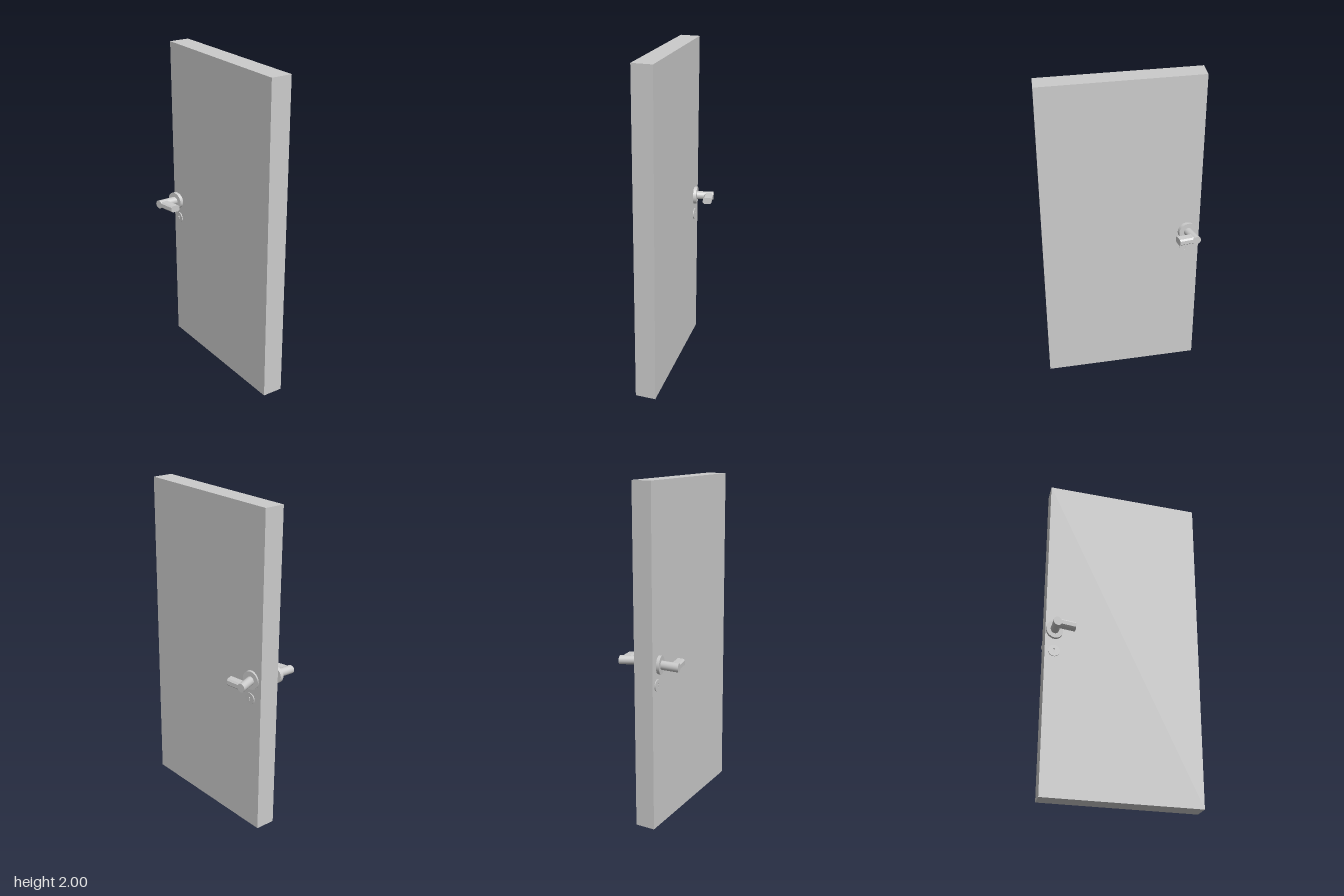
import * as THREE from 'three';

const material = new THREE.MeshStandardMaterial({ color: 0xcccccc });
const v3 = (x, y, z) => new THREE.Vector3(x, y, z);

// Slightly skewed local frame: x runs through the door, z along its width
function frame(xAxis, zAxis, origin) {
  return new THREE.Matrix4().makeBasis(xAxis, v3(0, 1, 0), zAxis).setPosition(origin);
}

function addPart(parent, name, geometry, matrix) {
  if (matrix) geometry.applyMatrix4(matrix);
  const mesh = new THREE.Mesh(geometry, material);
  mesh.name = name;
  parent.add(mesh);
}

// Cylinder along x from one distance to another, on side s
function disc(radius, from, to, s) {
  return new THREE.CylinderGeometry(radius, radius, to - from, 32)
    .rotateZ(Math.PI / 2)
    .translate(s * (from + to) / 2, 0, 0);
}

// Grip bar with chamfered long edges, running along z
function leverGeometry(width, height, from, to) {
  const w = width / 2, h = height / 2, c = 0.009;
  const shape = new THREE.Shape([
    [-w + c, -h], [w - c, -h], [w, -h + c], [w, h - c],
    [w - c, h], [-w + c, h], [-w, h - c], [-w, -h + c],
  ].map(([x, y]) => new THREE.Vector2(x, y)));
  return new THREE.ExtrudeGeometry(shape, { depth: to - from, bevelEnabled: false })
    .translate(0, 0, from);
}

// Thin round plate with a keyhole cut through it
function keyPlateGeometry(s) {
  const shape = new THREE.Shape().absarc(0, 0, 0.035, 0, Math.PI * 2, false);
  const hole = new THREE.Path();
  hole.moveTo(-0.003, -0.014);
  hole.lineTo(0.003, -0.014);
  hole.lineTo(0.003, 0.002);
  hole.absarc(0, 0.006, 0.006, -Math.PI / 3, Math.PI * 4 / 3, false);
  hole.closePath();
  shape.holes.push(hole);
  return new THREE.ExtrudeGeometry(shape, { depth: 0.006, bevelEnabled: false, curveSegments: 16 })
    .rotateY(s * Math.PI / 2);
}

export function createModel() {
  const model = new THREE.Group();
  model.name = 'door';

  // Door leaf: skewed rectangular plan, extruded upward
  const plan = new THREE.Shape([
    [-0.08, -0.473], [0.045, -0.485], [0.072, 0.473], [-0.05, 0.485],
  ].map(([x, y]) => new THREE.Vector2(x, y)));
  addPart(model, 'doorLeaf',
    new THREE.ExtrudeGeometry(plan, { depth: 2, bevelEnabled: false }).rotateX(-Math.PI / 2));

  // One lever handle and key plate on each face
  const sides = [
    { name: 'left', s: 1, x: v3(0.965, -0.035, -0.26), z: v3(0.09, 0, 1),
      origin: v3(0.067, 0.99, -0.395), rose: 0.056, reach: 0.124, grip: 0.105,
      plate: v3(0.0697, 0.865, -0.388) },
    { name: 'right', s: -1, x: v3(1, 0, 0.1), z: v3(0.16, 0, 1),
      origin: v3(-0.064, 0.988, -0.435), rose: 0.053, reach: 0.132, grip: 0.114,
      plate: v3(-0.0517, 0.865, -0.43) },
  ];
  for (const { name, s, x, z, origin, rose, reach, grip, plate } of sides) {
    const handle = new THREE.Group();
    handle.name = name + 'Handle';
    model.add(handle);
    const m = frame(x, z, origin);
    addPart(handle, 'rose', disc(rose, 0, 0.02, s), m);
    addPart(handle, 'shaft', disc(0.026, -0.01, reach, s), m);
    addPart(handle, 'lever',
      leverGeometry(0.055, 0.042, 0, grip).translate(s * (reach - 0.0275), 0, 0), m);
    addPart(handle, 'keyPlate', keyPlateGeometry(s), frame(v3(1, 0, 0.1), v3(-0.03, 0, 1), plate));
  }
  return model;
}
